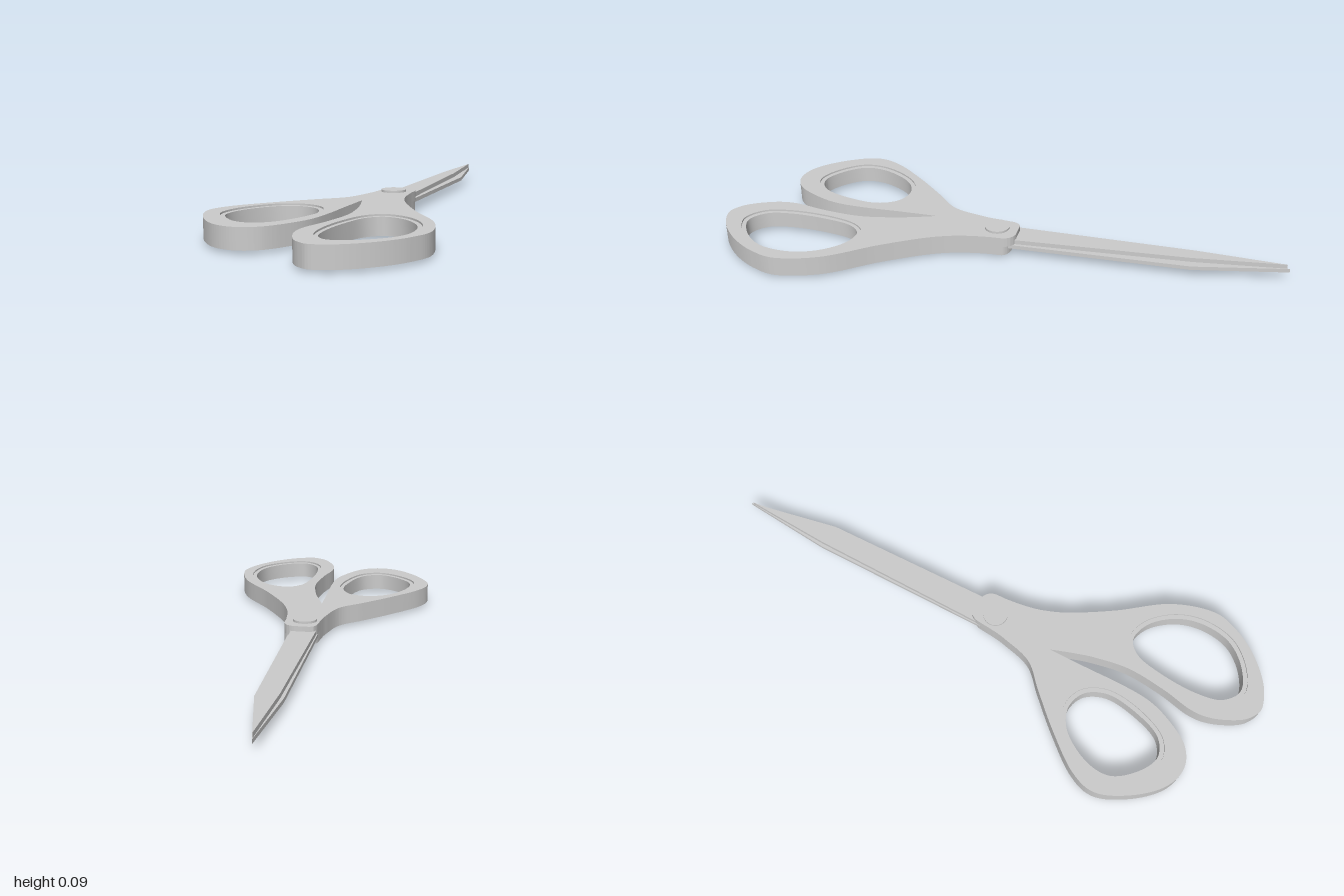
import * as THREE from 'three';
import { toCreasedNormals } from 'three/addons/utils/BufferGeometryUtils.js';

const steel = new THREE.MeshStandardMaterial({ color: 0xcccccc });
steel.name = 'grey';

// Points are [x, z] as seen from above; shapes use (x, -z).
const flat = (pts) => pts.map(([x, z]) => new THREE.Vector2(x, -z));

// Smooth counter-clockwise loop through plan points, optionally pushed outward from its centre
function loop(pts, grow = 0) {
  const n = pts.length;
  const cx = pts.reduce((s, p) => s + p[0], 0) / n;
  const cz = pts.reduce((s, p) => s + p[1], 0) / n;
  const moved = pts.map(([x, z]) => {
    const k = 1 + grow / Math.hypot(x - cx, z - cz);
    return new THREE.Vector3(cx + (x - cx) * k, -(cz + (z - cz) * k), 0);
  });
  return new THREE.CatmullRomCurve3(moved, true).getPoints(64).slice(0, -1)
    .map((p) => new THREE.Vector2(p.x, p.y)).reverse();
}

// Upright plate between two heights
function plate(name, shape, y0, y1) {
  const geo = new THREE.ExtrudeGeometry(shape, { depth: y1 - y0, bevelEnabled: false, curveSegments: 100 });
  geo.rotateX(-Math.PI / 2);
  geo.translate(0, y0, 0);
  const mesh = new THREE.Mesh(toCreasedNormals(geo, 0.6), steel);
  mesh.name = name;
  return mesh;
}

export function createModel() {
  const group = new THREE.Group();
  group.name = 'scissors';

  const leftHole = [[0.168, 0.498], [0.24, 0.52], [0.307, 0.6], [0.332, 0.695], [0.312, 0.805], [0.24, 0.882],
    [0.16, 0.91], [0.104, 0.865], [0.086, 0.78], [0.095, 0.64], [0.123, 0.535]];
  const rightHole = [[-0.16, 0.398], [-0.092, 0.424], [-0.057, 0.495], [-0.067, 0.595], [-0.117, 0.715],
    [-0.18, 0.745], [-0.243, 0.717], [-0.313, 0.63], [-0.308, 0.54], [-0.235, 0.428]];

  // Handles: one outline from the crotch round each bow to the pivot
  const leftSide = [[0.025, 0.33], [0.045, 0.41], [0.06, 0.53], [0.045, 0.665], [0.02, 0.78], [0.026, 0.86],
    [0.062, 0.945], [0.1, 0.985], [0.142, 0.998], [0.22, 0.97], [0.303, 0.9], [0.364, 0.81], [0.39, 0.71],
    [0.348, 0.56], [0.24, 0.4], [0.16, 0.26], [0.124, 0.17], [0.109, 0.1], [0.102, 0.03]];
  const rightSide = [[-0.036, 0.09], [-0.072, 0.2], [-0.155, 0.28], [-0.26, 0.385], [-0.36, 0.505], [-0.39, 0.605],
    [-0.342, 0.72], [-0.264, 0.81], [-0.18, 0.84], [-0.105, 0.81], [-0.05, 0.73], [-0.015, 0.64], [-0.004, 0.53],
    [-0.003, 0.4], [0, 0.25]];
  const body = new THREE.Shape();
  body.moveTo(0, -0.25);
  body.splineThru(flat(leftSide));
  body.lineTo(-0.025, -0.03);
  body.splineThru(flat(rightSide));
  for (const hole of [leftHole, rightHole]) body.holes.push(new THREE.Path(loop(hole, 0.016)));
  group.add(plate('handles', body, 0.01, 0.08));

  // Recessed lining inside each finger hole
  for (const [name, hole] of [['leftFingerLining', leftHole], ['rightFingerLining', rightHole]]) {
    const ring = new THREE.Shape(loop(hole, 0.016));
    ring.holes.push(new THREE.Path(loop(hole)));
    group.add(plate(name, ring, 0.016, 0.074));
  }

  // Two stacked pivot lugs, the lower one shorter
  const lug = (end) => {
    const s = new THREE.Shape();
    s.moveTo(-0.025, -0.03);
    s.lineTo(0.102, -0.03);
    s.lineTo(0.102, 0.01);
    s.quadraticCurveTo(0.097, end - 0.008, 0.06, end - 0.002);
    s.lineTo(0.01, end);
    s.quadraticCurveTo(-0.016, end, -0.02, 0.015);
    return s;
  };
  group.add(plate('upperLug', lug(0.057), 0.045, 0.08));
  group.add(plate('lowerLug', lug(0.04), 0.01, 0.045));

  // Closed blades, the upper one narrower so the lower shows as a ledge
  const upper = [[-0.016, 0.03], [-0.016, -0.05], [0.007, -0.68], [0.032, -0.99], [0.058, -0.67], [0.074, -0.05], [0.076, 0.03]];
  const lower = [[-0.02, 0.03], [-0.02, -0.05], [-0.004, -0.68], [0.032, -1], [0.088, -0.67], [0.084, -0.05], [0.082, 0.03]];
  group.add(plate('upperBlade', new THREE.Shape(flat(upper)), 0.045, 0.061));
  group.add(plate('lowerBlade', new THREE.Shape(flat(lower)), 0.031, 0.045));

  // Pivot screw heads above and below
  for (const [name, r, y] of [['screwHead', 0.044, 0.082], ['screwBase', 0.038, 0.006]]) {
    const head = new THREE.Mesh(new THREE.CylinderGeometry(r, r, 0.012, 40), steel);
    head.name = name;
    head.position.set(0.032, y, 0.02);
    group.add(head);
  }
  return group;
}
